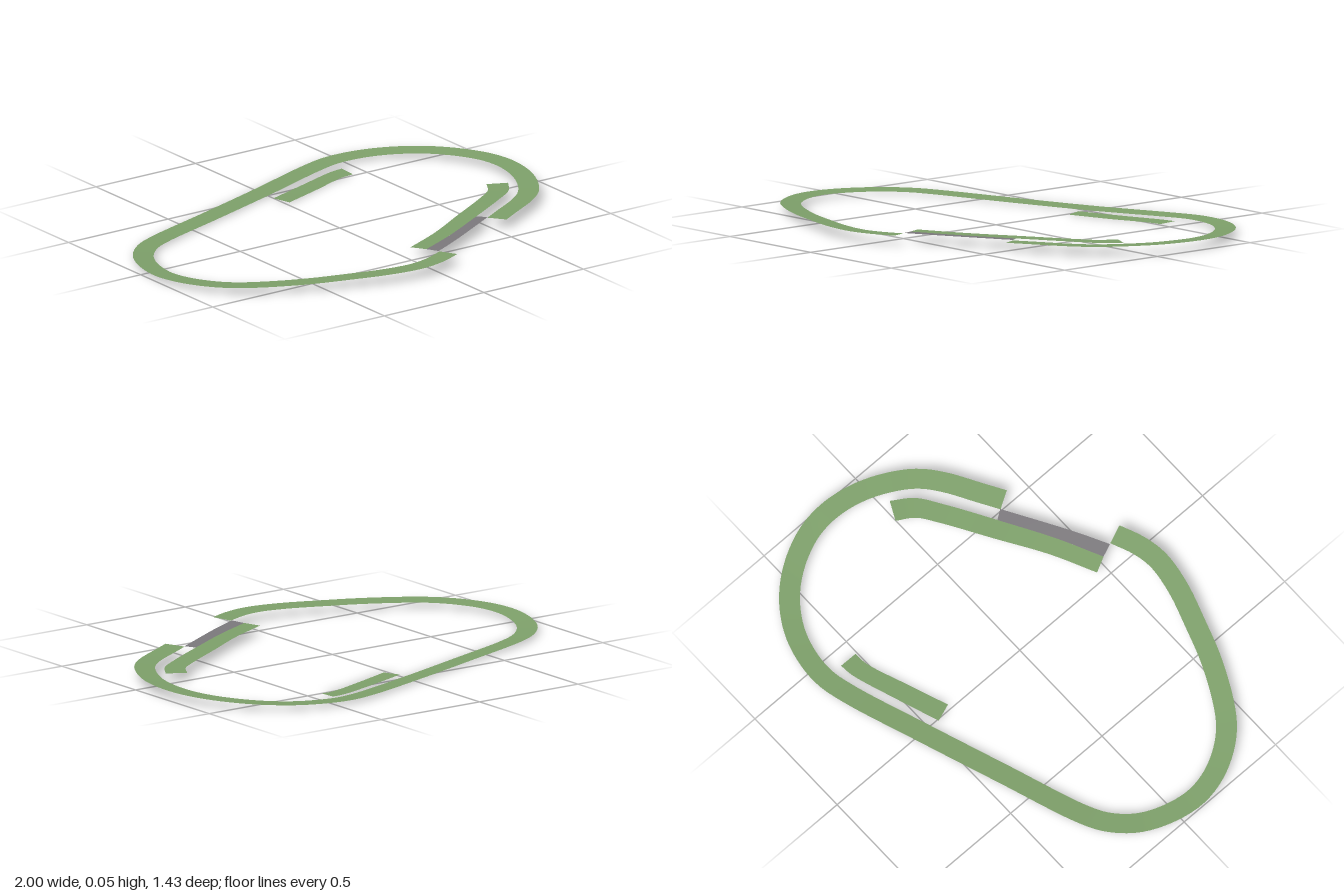
import * as THREE from 'three';

const turf = new THREE.MeshStandardMaterial({ color: 0x7fa26b, side: THREE.DoubleSide });
turf.name = 'turf green';
const paving = new THREE.MeshStandardMaterial({ color: 0x7d7a7e, side: THREE.DoubleSide });
paving.name = 'paving gray';

const smooth = (pts) => new THREE.CatmullRomCurve3(pts.map((p) => new THREE.Vector3(p[0], p[1], p[2])));

// Flat band between two matching rows of points (inner row on the left of travel)
function band(name, inner, outer, material) {
  const pos = [], index = [];
  inner.forEach((a, i) => {
    pos.push(...a.toArray(), ...outer[i].toArray());
    if (i > 0) {
      const k = 2 * i;
      index.push(k - 2, k - 1, k, k - 1, k + 1, k);
    }
  });
  const geo = new THREE.BufferGeometry();
  geo.setAttribute('position', new THREE.Float32BufferAttribute(pos, 3));
  geo.setIndex(index);
  geo.computeVertexNormals();
  const mesh = new THREE.Mesh(geo, material);
  mesh.name = name;
  return mesh;
}

// Band of constant width along a centre line, outer edge raised by bank
function bankedRoad(name, pts, width, bank, material) {
  const curve = smooth(pts), inner = [], outer = [], n = 160;
  for (let i = 0; i <= n; i++) {
    const p = curve.getPointAt(i / n);
    const t = curve.getTangentAt(i / n);
    const side = new THREE.Vector3(-t.z, 0, t.x).normalize().multiplyScalar(width / 2);
    side.y = bank / 2;
    inner.push(p.clone().sub(side));
    outer.push(p.clone().add(side));
  }
  return band(name, inner, outer, material);
}

// Band lofted between two edge curves
function lofted(name, innerPts, outerPts, material) {
  const a = smooth(innerPts), b = smooth(outerPts), n = 32;
  const row = (c) => Array.from({ length: n + 1 }, (_, i) => c.getPoint(i / n));
  return band(name, row(a), row(b), material);
}

export function createModel() {
  const group = new THREE.Group();
  group.name = 'circuit';

  // Main loop, running up the right side, over the back and down the left
  group.add(bankedRoad('mainLoop', [
    [0.517, 0.041, 0.377], [0.6, 0.041, 0.328], [0.74, 0.041, 0.245],
    [0.82, 0.041, 0.177], [0.888, 0.041, 0.075], [0.937, 0.04, -0.045],
    [0.957, 0.039, -0.17], [0.947, 0.036, -0.285], [0.907, 0.032, -0.393],
    [0.84, 0.028, -0.497], [0.76, 0.024, -0.575], [0.66, 0.02, -0.635],
    [0.55, 0.017, -0.667], [0.44, 0.014, -0.673], [0.32, 0.011, -0.646],
    [0, 0.007, -0.535], [-0.35, 0.008, -0.412], [-0.7, 0.011, -0.288],
    [-0.795, 0.013, -0.236], [-0.88, 0.015, -0.148], [-0.935, 0.018, -0.03],
    [-0.957, 0.021, 0.1], [-0.938, 0.024, 0.21], [-0.888, 0.026, 0.312],
    [-0.82, 0.028, 0.394], [-0.73, 0.03, 0.458], [-0.56, 0.033, 0.543],
    [-0.4, 0.036, 0.6], [-0.24, 0.039, 0.65], [-0.1, 0.041, 0.67],
    [0, 0.042, 0.654], [0.103, 0.043, 0.613],
  ], 0.085, 0.004, turf));

  // Inner lane beside the front gap
  group.add(lofted('frontLane', [
    [0.03, 0.036, 0.45], [0.22, 0.036, 0.358], [0.42, 0.036, 0.237],
    [0.62, 0.036, 0.117], [0.7, 0.036, 0.06], [0.745, 0.036, -0.01],
  ], [
    [0.063, 0.039, 0.515], [0.25, 0.039, 0.425], [0.47, 0.039, 0.3],
    [0.665, 0.039, 0.184], [0.765, 0.038, 0.115], [0.825, 0.037, 0.03],
  ], turf));

  // Paved strip along the outer side of the front lane
  group.add(lofted('pavedStrip', [
    [0.063, 0.039, 0.515], [0.25, 0.039, 0.425], [0.47, 0.039, 0.3],
  ], [
    [0.085, 0.042, 0.57], [0.22, 0.042, 0.5], [0.497, 0.041, 0.34],
  ], paving));

  // Short inner lane at the back
  group.add(lofted('backLane', [
    [0.435, 0.002, -0.508], [0.375, 0.001, -0.503], [0.2, 0, -0.441], [0.02, 0.002, -0.375],
  ], [
    [0.435, 0.005, -0.587], [0.375, 0.004, -0.58], [0.18, 0.003, -0.516], [-0.007, 0.004, -0.45],
  ], turf));

  return group;
}
